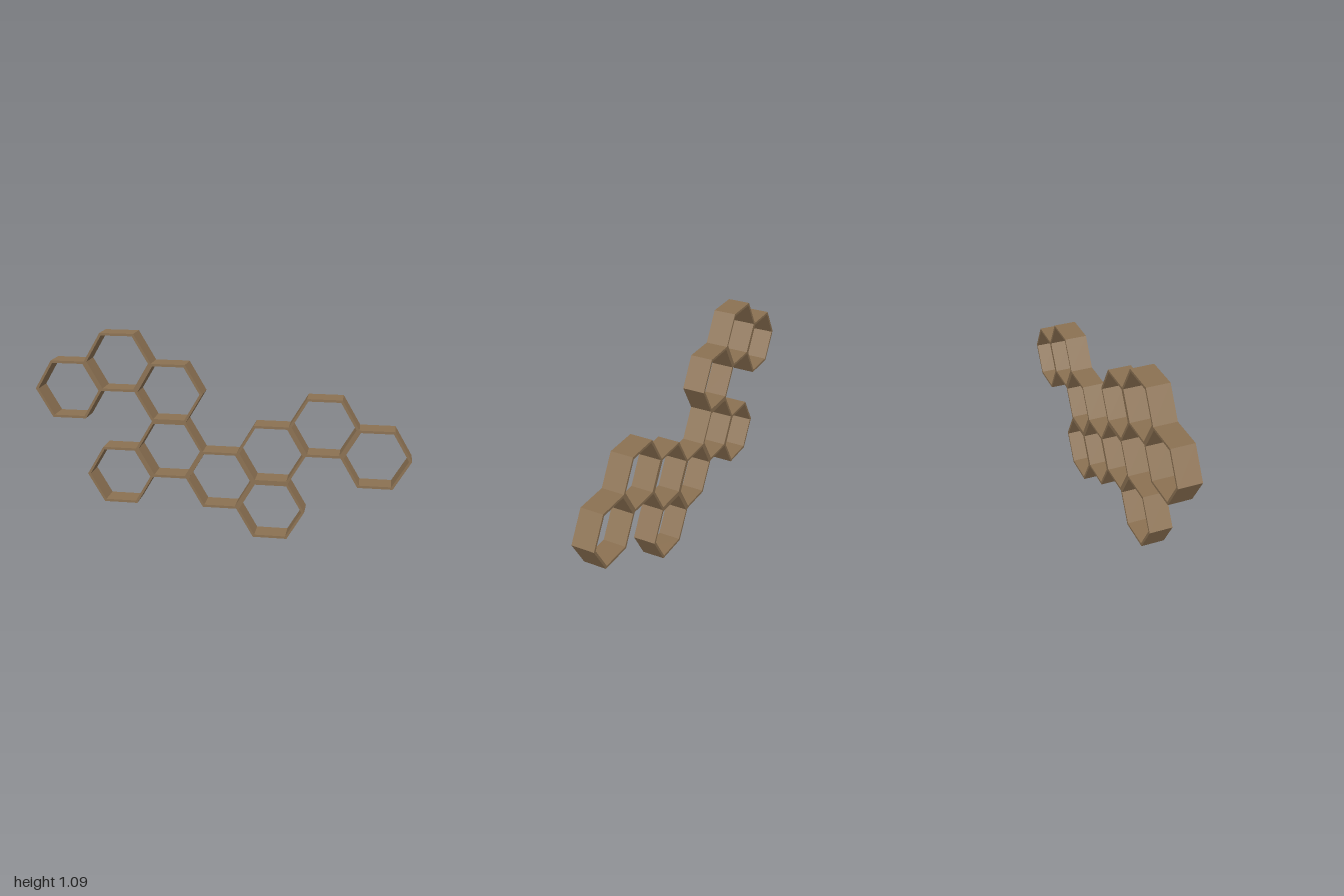
import * as THREE from 'three';

const R = 2 / 11;      // cell half width
const A = 0.155;       // cell half height
const DEPTH = 0.122;
const WALL = 0.013;

// flat-topped hexagon outline
function hexagon(path, r, a) {
  const points = [[r, 0], [r / 2, a], [-r / 2, a], [-r, 0], [-r / 2, -a], [r / 2, -a]];
  path.setFromPoints(points.map(([x, y]) => new THREE.Vector2(x, y)));
  path.closePath();
  return path;
}

export function createModel() {
  const group = new THREE.Group();
  group.name = 'honeycombShelf';

  const wood = new THREE.MeshStandardMaterial({ color: 0x8b7152 });
  wood.name = 'wood';

  // open hexagonal frame
  const shape = hexagon(new THREE.Shape(), R, A);
  shape.holes.push(hexagon(new THREE.Path(), R - WALL * 1.155, A - WALL));
  const frame = new THREE.ExtrudeGeometry(shape, { depth: DEPTH, bevelEnabled: false });
  frame.translate(0, 0, -DEPTH / 2);

  // cells as [column, half row]
  const cells = [
    [-3, 4], [-2, 5], [-1, 4], [-1, 2], [-2, 1],
    [0, 1], [1, 0], [1, 2], [2, 3], [3, 2],
  ];
  cells.forEach(([column, row], i) => {
    const cell = new THREE.Mesh(frame, wood);
    cell.name = `hexagonCell${i + 1}`;
    cell.position.set(column * 1.5 * R, A * (row + 1), 0);
    group.add(cell);
  });
  return group;
}
